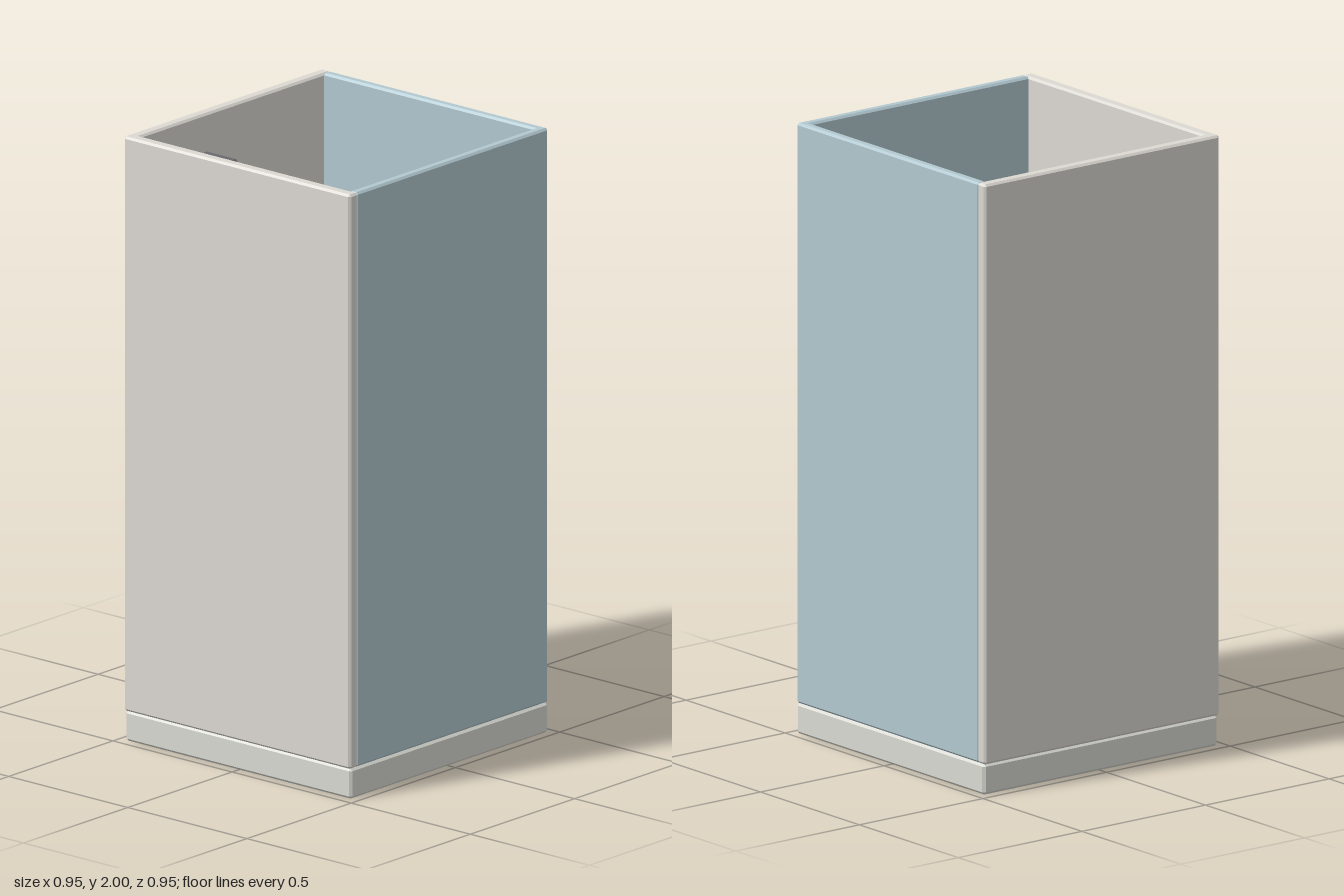
import * as THREE from 'three';
import { ConvexGeometry } from 'three/addons/geometries/ConvexGeometry.js';

const material = (color) => new THREE.MeshStandardMaterial({ color });

// Box between two corners, with all edges chamfered by c
function chamferBox(min, max, c) {
  const centre = min.map((v, i) => (v + max[i]) / 2);
  const half = min.map((v, i) => (max[i] - v) / 2);
  const points = [];
  for (const sx of [-1, 1]) for (const sy of [-1, 1]) for (const sz of [-1, 1]) {
    const s = [sx, sy, sz];
    for (let axis = 0; axis < 3; axis++) {
      const p = s.map((sign, i) => centre[i] + sign * (half[i] - (i === axis ? 0 : c)));
      points.push(new THREE.Vector3(...p));
    }
  }
  return new ConvexGeometry(points);
}

export function createModel() {
  const group = new THREE.Group();
  const ceramic = material(0xdadad4);
  const wall = material(0xdcd9d3);
  const glass = material(0xb2c8d0);
  const metal = material(0x69686d);

  function add(name, geometry, mat) {
    const mesh = new THREE.Mesh(geometry, mat);
    mesh.name = name;
    group.add(mesh);
    return mesh;
  }

  // Tray at the foot
  add('showerTray', chamferBox([-0.473, 0, -0.473], [0.475, 0.1, 0.475], 0.008), ceramic);

  // Two solid walls
  add('backWall', chamferBox([-0.475, 0.1, -0.478], [0.475, 2, -0.438], 0.007), wall);
  add('sideWall', chamferBox([-0.478, 0.1, -0.475], [-0.438, 2, 0.475], 0.007), wall);

  // Two glass panels
  add('frontGlass', chamferBox([-0.445, 0.1, 0.442], [0.475, 2, 0.475], 0.007), glass);
  add('sideGlass', chamferBox([0.442, 0.1, -0.445], [0.475, 2, 0.475], 0.007), glass);

  // Shower head on the back wall, with its hanging handle
  add('showerHead', chamferBox([-0.265, 1.835, -0.443], [-0.115, 1.875, -0.305], 0.009), metal);
  const r = 0.013, h = 0.09, b = 0.006;
  const profile = [[0, -h], [r - b, -h], [r, -h + b], [r, h - b], [r - b, h], [0, h]]
    .map(([x, y]) => new THREE.Vector2(x, y));
  const handle = add('showerHandle', new THREE.LatheGeometry(profile, 16), metal);
  handle.position.set(-0.19, 1.77, -0.286);

  return group;
}
